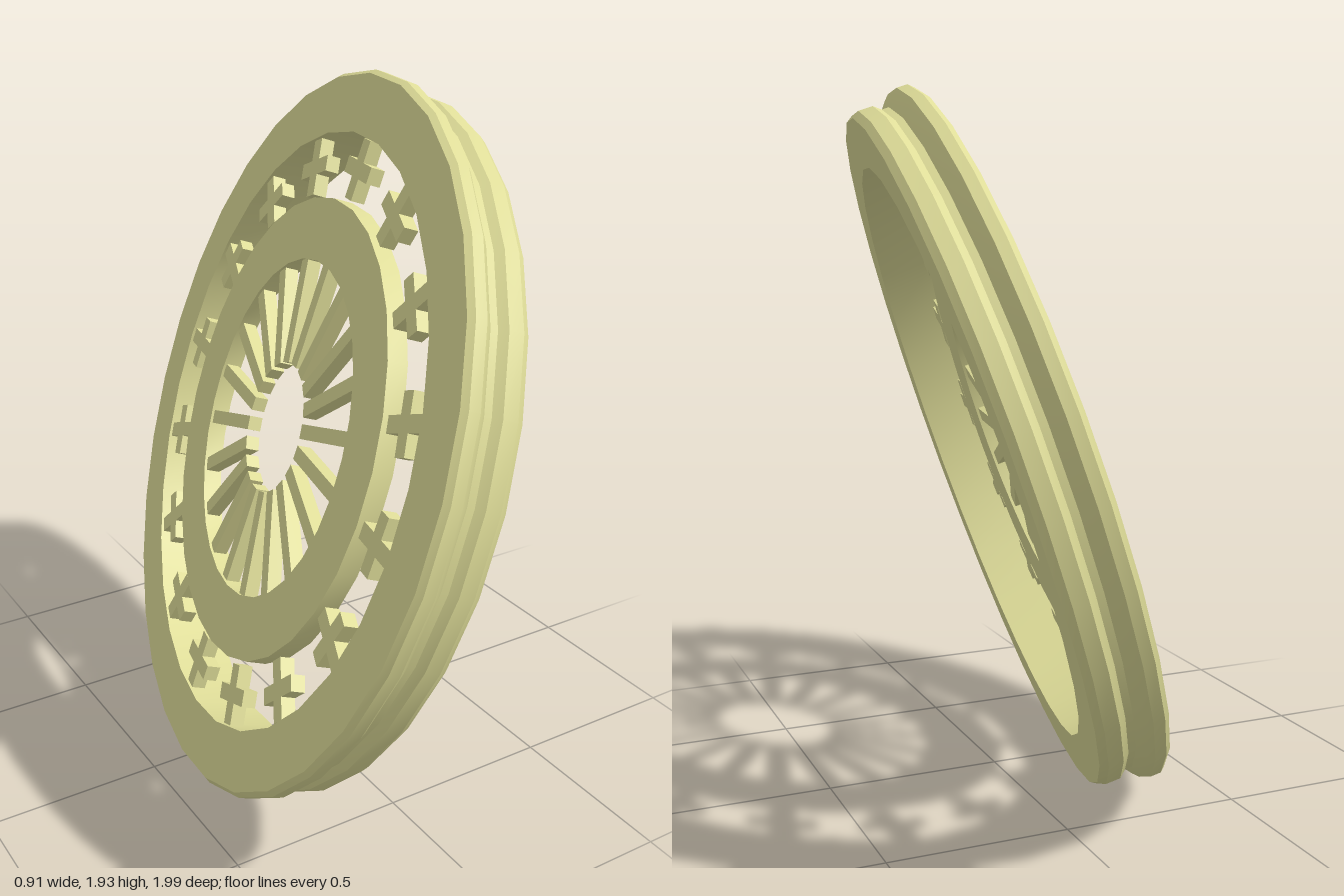
import * as THREE from 'three';
import { toCreasedNormals } from 'three/addons/utils/BufferGeometryUtils.js';

const SIDES = 30;
const material = new THREE.MeshStandardMaterial({ color: 0xdedc98 });

// Closed [radius, height] profile turned about the wheel axis (local y)
function turned(name, profile) {
  const points = [...profile, profile[0]].map(([r, h]) => new THREE.Vector2(r, h));
  const geometry = new THREE.LatheGeometry(points, SIDES, Math.PI / 2);
  geometry.deleteAttribute('normal');
  geometry.deleteAttribute('uv');
  const mesh = new THREE.Mesh(toCreasedNormals(geometry, 0.4), material);
  mesh.name = name;
  return mesh;
}

function bar(name, length, thick, width, x) {
  const mesh = new THREE.Mesh(new THREE.BoxGeometry(length, thick, width), material);
  mesh.name = name;
  mesh.position.x = x;
  return mesh;
}

// Repeats a part evenly around the axis at the given height
function around(name, count, height, makeParts) {
  const group = new THREE.Group();
  group.name = name;
  for (let i = 0; i < count; i++) {
    const arm = new THREE.Group();
    arm.add(...makeParts());
    arm.position.y = height;
    arm.rotation.y = (i / count) * Math.PI * 2;
    group.add(arm);
  }
  return group;
}

export function createModel() {
  const model = new THREE.Group();
  const wheel = new THREE.Group();
  wheel.name = 'wheel';
  model.add(wheel);

  // Outer rim with a flange at the back and a shallow groove
  wheel.add(turned('rim', [
    [0.84, -0.09], [1.0, -0.09], [1.013, -0.075], [1.013, -0.045], [0.998, -0.03],
    [0.972, -0.01], [0.972, 0.01], [0.988, 0.03], [0.988, 0.07], [0.975, 0.09], [0.84, 0.09],
  ]));

  // Flat inner ring
  wheel.add(turned('innerRing', [[0.48, -0.092], [0.655, -0.092], [0.655, -0.036], [0.48, -0.036]]));

  // Spokes reaching from the inner ring towards the open centre
  wheel.add(around('spokes', 20, -0.064, () => [bar('spoke', 0.31, 0.04, 0.04, 0.34)]));

  // Crosses in the gap between inner ring and rim
  wheel.add(around('crosses', 16, -0.064, () => [
    bar('crossRadialBar', 0.165, 0.04, 0.045, 0.75),
    bar('crossSideBar', 0.045, 0.04, 0.16, 0.75),
  ]));

  // Lean the wheel: axis mostly along x, tipped down and forward
  const axis = new THREE.Vector3(0.926, -0.32, 0.2).normalize();
  const level = new THREE.Vector3(axis.z, 0, -axis.x).normalize();
  const down = new THREE.Vector3().crossVectors(level, axis);
  wheel.quaternion.setFromRotationMatrix(new THREE.Matrix4().makeBasis(level, axis, down));
  wheel.position.set(0, 0.965, 0);
  return model;
}
